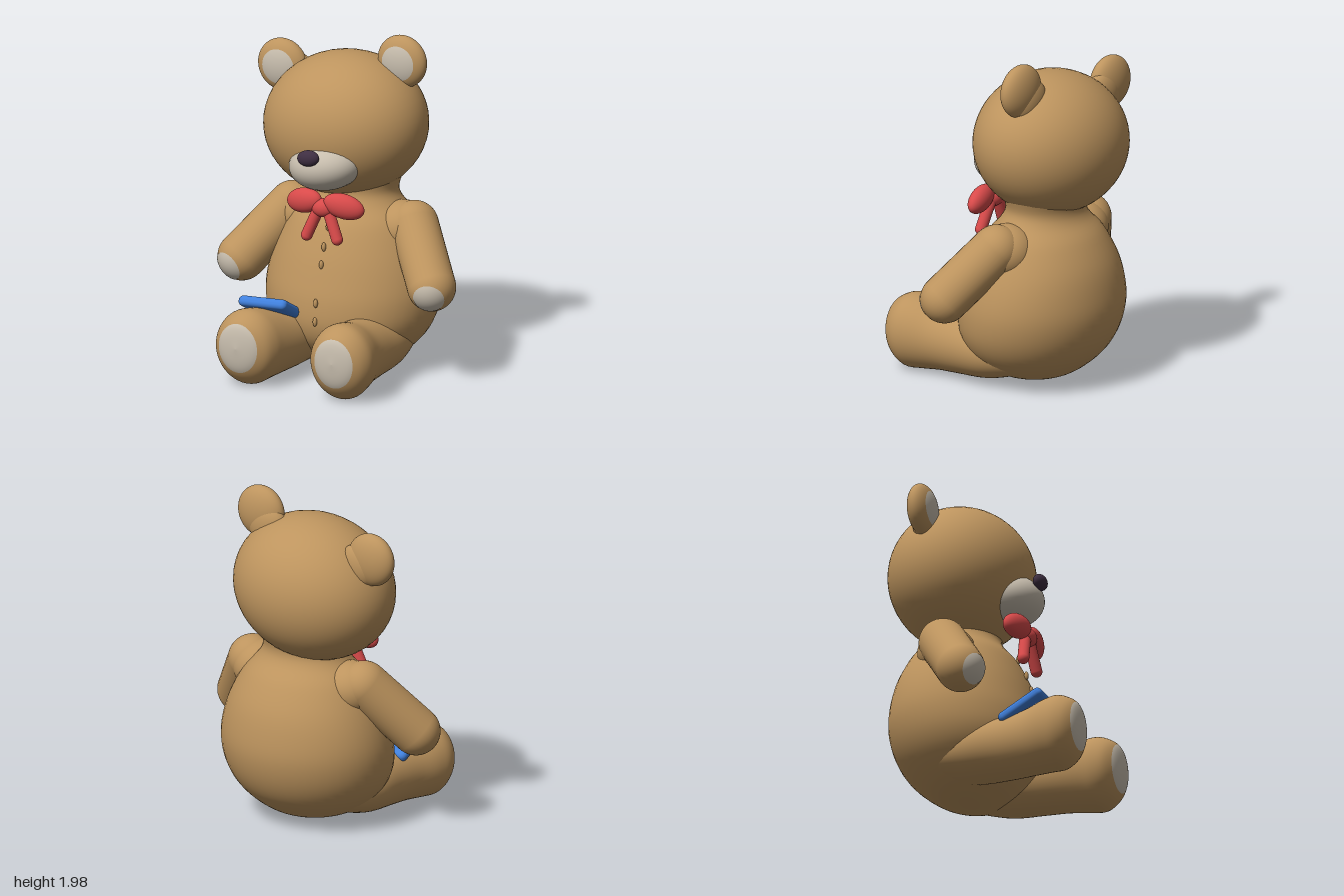
import * as THREE from 'three';
import { RoundedBoxGeometry } from 'three/addons/geometries/RoundedBoxGeometry.js';

const mat = (name, color) => {
  const m = new THREE.MeshStandardMaterial({ color });
  m.name = name;
  return m;
};
const V = (a) => new THREE.Vector3(...a);

// Smooth skin over elliptical sections [t, cu, cv, ru, rv]; map places (u, v, t) in space.
// Faces from section padFrom onwards go to the second material group.
function loft(sections, map, padFrom = Infinity, steps = 5, n = 48) {
  const curves = [0, 1, 2, 3, 4].map((k) =>
    new THREE.SplineCurve(sections.map((s, i) => new THREE.Vector2(i, s[k]))));
  const rings = (sections.length - 1) * steps;
  const pos = [], idx = [];
  for (let i = 0; i <= rings; i++) {
    const [t, cu, cv, ru, rv] = curves.map((c) => c.getPoint(i / rings).y);
    for (let j = 0; j < n; j++) {
      const a = (j / n) * Math.PI * 2;
      pos.push(...map(cu + ru * Math.cos(a), cv + rv * Math.sin(a), t));
    }
  }
  for (let i = 0; i < rings; i++) for (let j = 0; j < n; j++) {
    const a = i * n + j, b = i * n + (j + 1) % n;
    idx.push(a, b, a + n, b, b + n, a + n);
  }
  const g = new THREE.BufferGeometry();
  g.setAttribute('position', new THREE.Float32BufferAttribute(pos, 3));
  g.setIndex(idx);
  g.computeVertexNormals();
  const split = Math.min(padFrom * steps, rings) * n * 6;
  g.addGroup(0, split, 0);
  if (split < idx.length) g.addGroup(split, idx.length - split, 1);
  return g;
}

export function createModel() {
  const fur = mat('tan fur', 0xbd945e);
  const pad = mat('pale pad', 0xc8beae);
  const dark = mat('dark nose', 0x3f2f42);
  const red = mat('red ribbon', 0xd84a4a);
  const blue = mat('blue plastic', 0x4080dc);
  const model = new THREE.Group();
  model.name = 'teddyBear';

  const add = (parent, name, geometry, material, p = [0, 0, 0]) => {
    const m = new THREE.Mesh(geometry, material);
    m.name = name;
    m.position.set(...p);
    parent.add(m);
    return m;
  };
  const ball = (parent, name, material, p, r, from = 0, to = Math.PI) => {
    const g = new THREE.SphereGeometry(1, 48, 32, 0, Math.PI * 2, from, to - from);
    g.rotateX(Math.PI / 2).scale(...r); // pole faces +z
    return add(parent, name, g, material, p);
  };
  const capsule = (parent, name, material, a, b, r) => {
    const d = V(b).sub(V(a));
    const m = add(parent, name, new THREE.CapsuleGeometry(r, d.length(), 16, 32), material);
    m.position.copy(V(a).addScaledVector(d, 0.5));
    m.quaternion.setFromUnitVectors(V([0, 1, 0]), d.normalize());
    return m;
  };

  // Pear-shaped body: height, half width, front z, back z
  const body = [
    [0.035, 0, -0.2, -0.2], [0.05, 0.17, -0.05, -0.33], [0.1, 0.31, 0.09, -0.43],
    [0.2, 0.43, 0.21, -0.54], [0.32, 0.5, 0.26, -0.61], [0.46, 0.525, 0.255, -0.645],
    [0.6, 0.51, 0.22, -0.64], [0.75, 0.46, 0.17, -0.605], [0.9, 0.38, 0.1, -0.53],
    [1.0, 0.29, 0.02, -0.45], [1.07, 0.26, -0.01, -0.43], [1.15, 0.28, 0, -0.45],
  ].map(([y, w, f, b]) => [y, (f + b) / 2, 0, (f - b) / 2, w]);
  add(model, 'body', loft(body, (u, v, t) => [v, t, u]), fur);

  // Belly buttons
  for (const [y, z] of [[0.9, 0.115], [0.79, 0.165], [0.69, 0.195], [0.475, 0.263], [0.365, 0.27]])
    ball(model, 'button', fur, [0, y, z], [0.013, 0.027, 0.013]);

  // Legs with flat pale soles, arms with pale paw patches
  const leg = [
    [-0.25, 0.24, 0.22, 0.15, 0.12], [-0.05, 0.25, 0.215, 0.19, 0.17],
    [0.15, 0.26, 0.215, 0.185, 0.185], [0.3, 0.275, 0.22, 0.185, 0.195],
    [0.43, 0.3, 0.232, 0.194, 0.217], [0.51, 0.31, 0.235, 0.195, 0.223],
    [0.575, 0.312, 0.242, 0.172, 0.192], [0.618, 0.315, 0.252, 0.126, 0.147],
    [0.638, 0.316, 0.255, 0.075, 0.09], [0.648, 0.316, 0.255, 0, 0],
  ];
  for (const s of [1, -1]) {
    const side = s > 0 ? 'left' : 'right';
    const legSections = leg.map(([t, x, ...rest]) => [t, s * x, ...rest]);
    add(model, side + 'Leg', loft(legSections, (u, v, t) => [u, v, t], 7), [fur, pad]);

    const hand = [s * 0.625, 0.6, 0.01];
    capsule(model, side + 'Arm', fur, [s * 0.4, 0.89, -0.19], hand, 0.142);
    ball(model, side + 'Shoulder', fur, [s * 0.32, 0.86, -0.2], [0.17, 0.16, 0.17]);
    const patch = ball(model, side + 'PawPatch', pad, hand, [0.145, 0.145, 0.145], 0, 0.68);
    patch.quaternion.setFromUnitVectors(V([0, 0, 1]), V([s * 0.045, -0.05, 0.125]).normalize());
  }

  // Head, tilted to one side
  const head = new THREE.Group();
  head.name = 'head';
  head.position.set(-0.06, 1.435, -0.21);
  head.rotation.z = 0.17;
  model.add(head);
  ball(head, 'skull', fur, [0, 0, 0], [0.498, 0.425, 0.42]);
  ball(head, 'muzzle', pad, [0, -0.175, 0.29], [0.225, 0.15, 0.192]);
  ball(head, 'nose', dark, [0, -0.09, 0.48], [0.07, 0.048, 0.037]);
  for (const s of [1, -1]) {
    const ear = new THREE.Group();
    ear.name = s > 0 ? 'leftEar' : 'rightEar';
    ear.position.set(s * 0.4, 0.337, -0.06);
    head.add(ear);
    const r = [0.157, 0.157, 0.078];
    ball(ear, 'innerEar', pad, [0, 0, 0], r, 0, 0.72);
    ball(ear, 'outerEar', fur, [0, 0, 0], r, 0.72);
    ball(ear, 'earRoot', fur, [s * -0.07, -0.06, -0.015], [0.13, 0.13, 0.07]);
  }

  // Bow tie
  const bow = new THREE.Group();
  bow.name = 'bowTie';
  bow.position.set(0, 1.05, 0.165);
  model.add(bow);
  ball(bow, 'knot', red, [0, -0.02, 0.01], [0.07, 0.055, 0.05]);
  for (const s of [1, -1]) {
    const loop = ball(bow, 'loop', red, [s * 0.13, 0.002, -0.005], [0.125, 0.074, 0.055]);
    loop.rotation.set(0, s * 0.2, s * -0.22);
    capsule(bow, 'tail', red, [s * 0.03, -0.03, 0.005], [s * 0.1, -0.195, 0.022], 0.034);
  }

  // Small tablet resting on the lap
  const tablet = add(model, 'tablet', new RoundedBoxGeometry(0.31, 0.062, 0.3, 5, 0.028),
    blue, [-0.273, 0.415, 0.288]);
  tablet.rotation.set(-0.5, 0, 0.05);

  return model;
}
